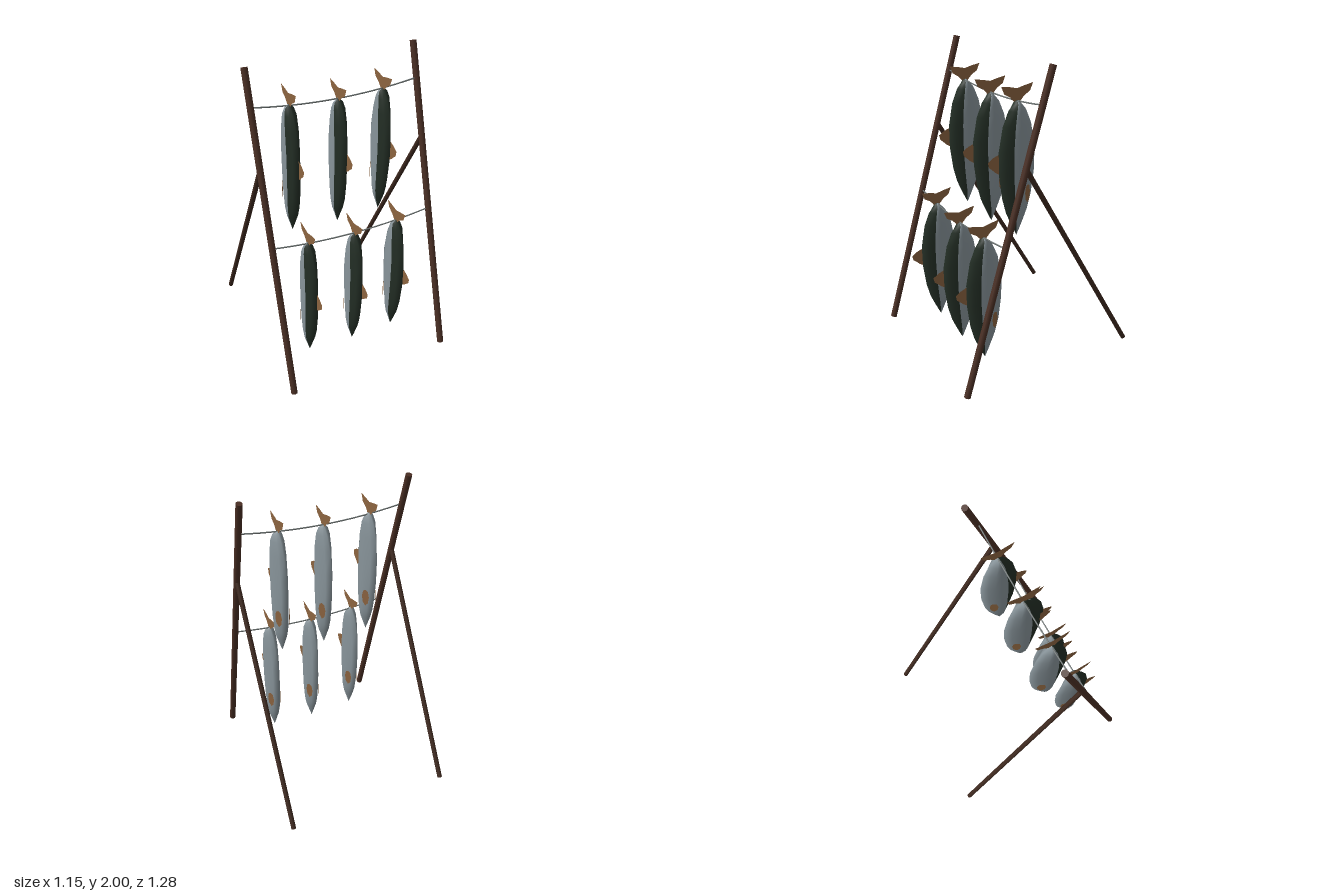
import * as THREE from 'three';

const mat = (name, color, side = THREE.FrontSide) => {
  const m = new THREE.MeshStandardMaterial({ color, side });
  m.name = name;
  return m;
};

// Body stations hanging down from the rope: y, half depth (z), half width (x)
const STATIONS = [
  [0, 0.001, 0.001], [-0.004, 0.014, 0.012], [-0.02, 0.028, 0.03], [-0.06, 0.062, 0.041],
  [-0.15, 0.1, 0.046], [-0.3, 0.128, 0.047], [-0.45, 0.126, 0.047], [-0.6, 0.105, 0.046],
  [-0.7, 0.078, 0.042], [-0.76, 0.052, 0.034], [-0.82, 0.024, 0.015], [-0.865, 0.001, 0.001],
];
// Half of the lens-shaped cross-section from back ridge to belly: z, x
const HALF = [[1, 0], [0.68, 0.5], [0.36, 0.95], [0, 1], [-0.33, 0.88], [-0.66, 0.5], [-1, 0]];
const RING = [...HALF, ...HALF.slice(1, -1).reverse().map(([z, x]) => [z, -x])];

// Body skin: group 0 is the dark back, group 1 the silver flanks and belly
function bodyGeometry() {
  const n = RING.length, pos = [], dark = [], pale = [];
  for (const [y, d, w] of STATIONS) for (const [z, x] of RING) pos.push(x * w, y, z * d);
  for (let i = 0; i < STATIONS.length - 1; i++) {
    for (let k = 0; k < n; k++) {
      const a = i * n + k, b = i * n + (k + 1) % n;
      (k < 2 || k >= n - 2 ? dark : pale).push(a, a + n, b, b, a + n, b + n);
    }
  }
  const g = new THREE.BufferGeometry();
  g.setAttribute('position', new THREE.Float32BufferAttribute(pos, 3));
  g.setIndex([...dark, ...pale]);
  g.addGroup(0, dark.length, 0);
  g.addGroup(dark.length, pale.length, 1);
  g.computeVertexNormals();
  return g;
}

const flatFin = pts => new THREE.ShapeGeometry(
  new THREE.Shape(pts.map(([a, b]) => new THREE.Vector2(a, b))));

export function createModel() {
  const model = new THREE.Group();
  model.name = 'fishDryingRack';
  const wood = mat('poleWood', 0x4a2f24);
  const legWood = mat('legWood', 0x3e291f);
  const ropeMat = mat('rope', 0x6f7675);
  const backMat = mat('fishBack', 0x232e25);
  const silver = mat('fishSilver', 0x88949a);
  const finMat = mat('fin', 0x8c6440, THREE.DoubleSide);

  const add = (parent, name, geometry, material) => {
    const m = new THREE.Mesh(geometry, material);
    m.name = name;
    parent.add(m);
    return m;
  };

  // Round pole between two points
  const strut = (name, a, b, r, material) => {
    const dir = b.clone().sub(a);
    const m = add(model, name, new THREE.CylinderGeometry(r, r, dir.length(), 12), material);
    m.position.copy(a).add(b).multiplyScalar(0.5);
    m.quaternion.setFromUnitVectors(new THREE.Vector3(0, 1, 0), dir.normalize());
  };

  // Leaning poles and their back legs
  for (const [side, s] of [['left', 1], ['right', -1]]) {
    const x = 0.553 * s, v = (y, z) => new THREE.Vector3(x, y, z);
    strut(side + 'Pole', v(0.006, 0.62), v(1.994, 0.035), 0.021, wood);
    strut(side + 'BackLeg', v(0.008, -0.626), v(1.405, 0.2), 0.016, legWood);
  }

  // Shared fish parts
  const body = bodyGeometry();
  const tail = flatFin([[-0.02, -0.01], [0.02, -0.01], [0.05, 0.022], [0.09, 0.045], [0.11, 0.092],
    [0.05, 0.082], [0, 0.07], [-0.05, 0.082], [-0.11, 0.092], [-0.09, 0.045], [-0.05, 0.022]]);
  const dorsal = flatFin([[0.115, -0.31], [0.165, -0.328], [0.203, -0.352], [0.195, -0.385],
    [0.165, -0.41], [0.15, -0.425], [0.11, -0.45]]);
  const pectoral = flatFin([[-0.02, 0.05], [0, 0.06], [0.02, 0.05], [0.029, 0.01],
    [0.022, -0.035], [0, -0.06], [-0.022, -0.035], [-0.029, 0.01]]);

  const makeFish = () => {
    const fish = new THREE.Group();
    fish.name = 'fish';
    add(fish, 'body', body, [backMat, silver]);
    add(fish, 'tailFin', tail, finMat).rotation.y = -Math.PI / 2;
    add(fish, 'dorsalFin', dorsal, finMat).rotation.y = -Math.PI / 2;
    for (const s of [1, -1]) {
      const fin = add(fish, s > 0 ? 'leftSideFin' : 'rightSideFin', pectoral, finMat);
      fin.position.set(0.0375 * s, -0.587, -0.056);
      fin.rotation.y = -1.12 * s;
    }
    return fish;
  };

  // Two sagging ropes, each with three fish hung by the tail
  for (const [name, mid, z] of [['upper', 1.733, 0.106], ['lower', 0.908, 0.345]]) {
    const sag = x => mid + 0.042 * (x / 0.553) ** 2;
    const pts = [];
    for (let i = 0; i <= 8; i++) {
      const x = -0.553 + 1.106 * i / 8;
      pts.push(new THREE.Vector3(x, sag(x), z));
    }
    add(model, name + 'Rope',
      new THREE.TubeGeometry(new THREE.CatmullRomCurve3(pts), 24, 0.0045, 6), ropeMat);
    for (const [x, lift] of [[-0.32, 0.008], [0, 0], [0.305, 0.004]]) {
      const fish = makeFish();
      fish.position.set(x, sag(x) + lift, z + 0.002);
      model.add(fish);
    }
  }
  return model;
}
